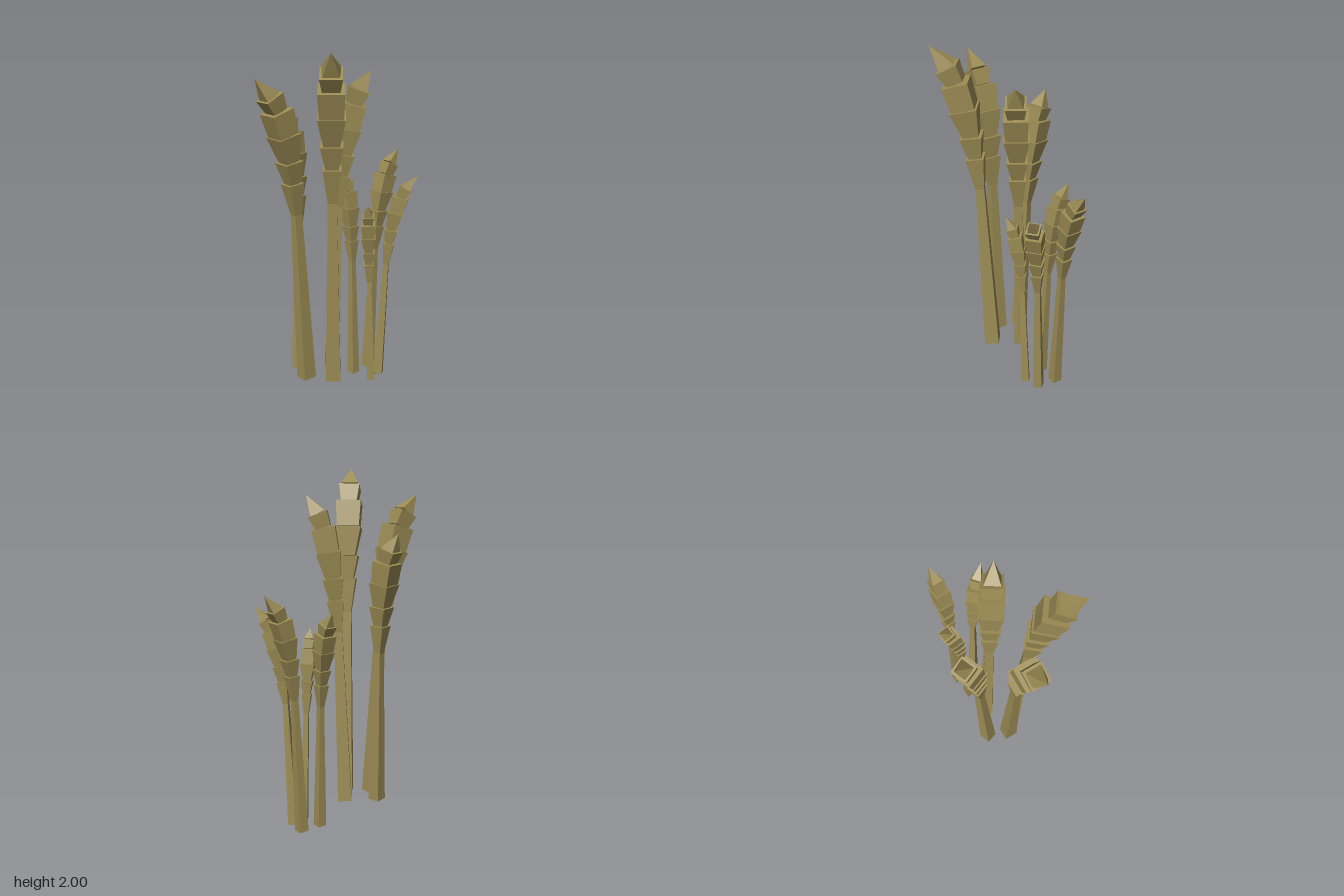
import * as THREE from 'three';

const material = new THREE.MeshStandardMaterial({ color: 0x9c8c54, flatShading: true });

// Pieces from the bottom up: name, start height fraction, start bend fraction, bottom width, top width
const pieces = [
  ['stem', 0, 0, 0.078, 0.045],
  ['budScale', 0.566, 0.18, 0.045, 0.092],
  ['budScale', 0.668, 0.255, 0.065, 0.112],
  ['budScale', 0.737, 0.315, 0.08, 0.136],
  ['budScale', 0.821, 0.425, 0.118, 0.132],
  ['budScale', 0.897, 0.56, 0.085, 0.11],
  ['tip', 0.942, 0.7, 0.088, 0],
];
const joints = [...pieces.map(([, t, f]) => [t, f]), [1, 1]];

// Base x, y, z; tip x, y, z; yaw direction x, z
const stalks = [
  [0.088, 0.11, 0.12, 0.31, 2.0, 0.33, 0.74, 0.68],
  [-0.03, 0.11, 0.222, -0.06, 1.855, 0.52, -0.08, 1],
  [-0.152, 0.11, 0.165, -0.33, 1.66, 0.155, -0.96, 0.26],
  [-0.05, 0.11, 0.01, 0.11, 1.86, -0.14, 0.62, -0.78],
  [-0.064, 0, -0.305, -0.05, 1.35, -0.52, 0.05, -1],
  [0.047, 0, -0.285, 0.22, 1.25, -0.41, 0.8, -0.6],
  [-0.06, 0, -0.177, -0.213, 1.25, -0.2, -1, -0.02],
  [0.075, 0, -0.195, 0.14, 1.11, -0.095, 0.72, 0.69],
];

// Square tapered block running from a to b, with one side facing dir
function taperedBlock(name, a, b, w0, w1, dir) {
  const along = b.clone().sub(a);
  const geometry = new THREE.CylinderGeometry(w1 * Math.SQRT1_2, w0 * Math.SQRT1_2, along.length(), 4, 1);
  geometry.rotateY(Math.PI / 4);
  const up = along.clone().normalize();
  const side = new THREE.Vector3().crossVectors(up, dir).normalize();
  const front = new THREE.Vector3().crossVectors(side, up);
  const mesh = new THREE.Mesh(geometry, material);
  mesh.quaternion.setFromRotationMatrix(new THREE.Matrix4().makeBasis(side, up, front));
  mesh.position.copy(a).add(b).multiplyScalar(0.5);
  mesh.name = name;
  return mesh;
}

function makeStalk([bx, by, bz, tx, ty, tz, dx, dz], thickness) {
  const group = new THREE.Group();
  const base = new THREE.Vector3(bx, by, bz);
  const dir = new THREE.Vector3(dx, 0, dz).normalize();
  const lean = new THREE.Vector3(tx - bx, 0, tz - bz);
  const bend = dir.clone().multiplyScalar(lean.dot(dir));
  const tilt = lean.clone().sub(bend);
  const height = ty - by;
  const size = thickness * height / 1.74;

  // Centre line: a straight sideways tilt plus a growing bend
  const points = joints.map(([t, f]) => base.clone()
    .addScaledVector(tilt, t).addScaledVector(bend, f)
    .add(new THREE.Vector3(0, t * height, 0)));

  pieces.forEach(([name, , , w0, w1], i) => {
    group.add(taperedBlock(name, points[i], points[i + 1], w0 * size, w1 * size, dir));
  });
  return group;
}

export function createModel() {
  const model = new THREE.Group();
  model.name = 'stalkCluster';
  stalks.forEach((s, i) => {
    const tall = i < 4;
    const stalk = makeStalk(s, tall ? 1 : 0.92);
    stalk.name = tall ? 'tallStalk' : 'shortStalk';
    model.add(stalk);
  });
  return model;
}
